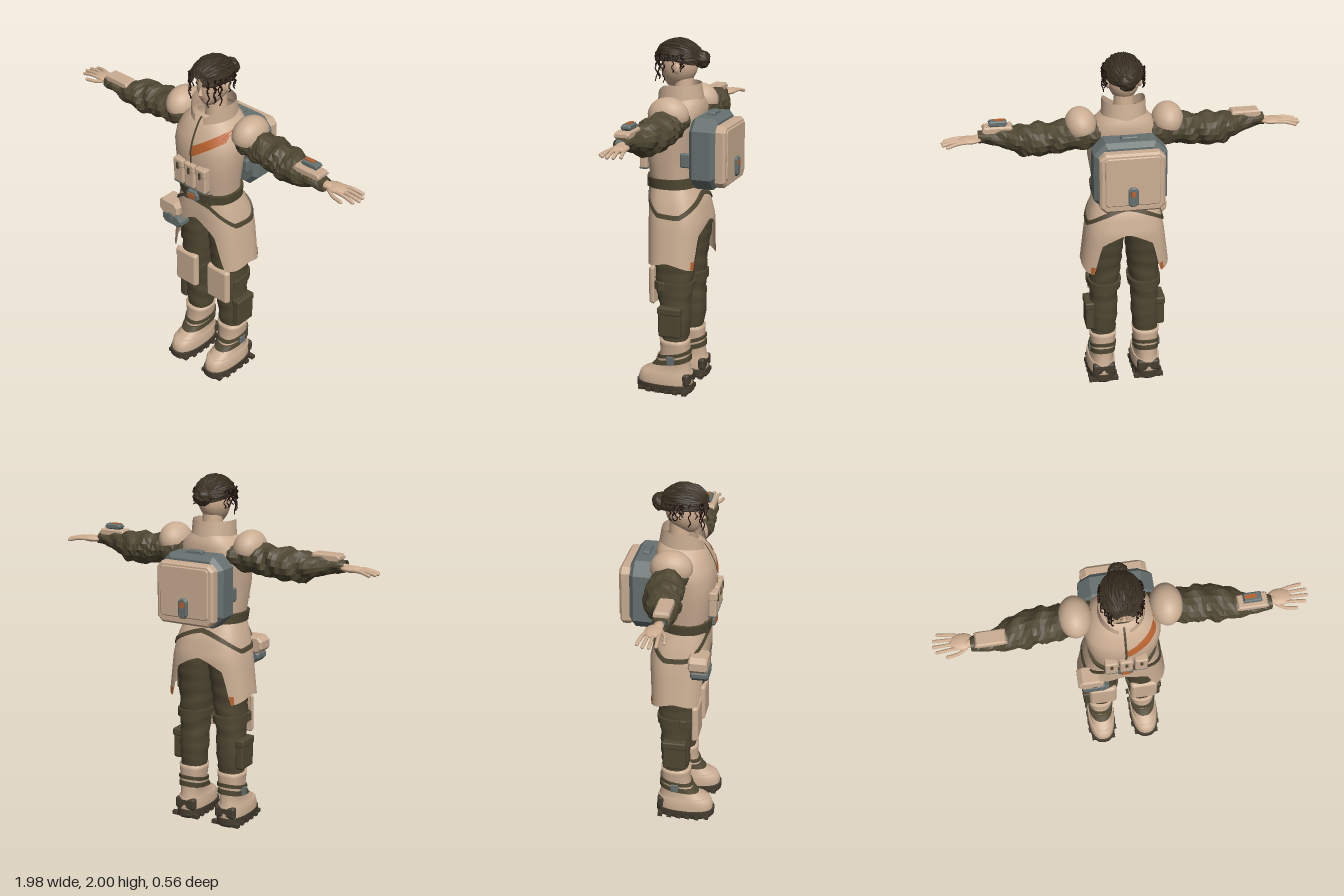
import * as THREE from 'three';
import { mergeVertices, mergeGeometries, toCreasedNormals } from 'three/addons/utils/BufferGeometryUtils.js';
import { RoundedBoxGeometry } from 'three/addons/geometries/RoundedBoxGeometry.js';

const paint = (name, color, side = THREE.FrontSide) => Object.assign(new THREE.MeshStandardMaterial({ color, side }), { name });

export function createModel() {
  const model = new THREE.Group();
  model.name = 'explorer';
  const tan = paint('tan cloth', 0xcbae93, THREE.DoubleSide), skin = paint('skin', 0xcfae91);
  const olive = paint('olive cloth', 0x4f4732, THREE.DoubleSide), slate = paint('slate shell', 0x66716f);
  const orange = paint('orange', 0xb8622e, THREE.DoubleSide), hair = paint('hair', 0x3b3122);
  const curl = paint('dark curls', 0x21100c), sole = paint('sole', 0x453d30), lip = paint('lips', 0x94614f);

  let seed = 7;
  const rnd = () => ((seed = (seed * 16807) % 2147483647) / 2147483647);
  const lerp = THREE.MathUtils.lerp;
  const add = (name, geo, mat) => {
    const m = new THREE.Mesh(geo, mat);
    m.name = name;
    model.add(m);
  };
  // Mirror a geometry across x and restore its winding
  const flip = geo => {
    const g = geo.index ? geo.toNonIndexed() : geo.clone();
    g.scale(-1, 1, 1);
    for (const a of Object.values(g.attributes))
      for (let i = 0; i < a.count; i += 3)
        for (let k = 0; k < a.itemSize; k++) {
          const t = a.getComponent(i + 1, k);
          a.setComponent(i + 1, k, a.getComponent(i + 2, k));
          a.setComponent(i + 2, k, t);
        }
    return g;
  };
  const both = (name, geo, mat) => { add(name + 'Left', geo, mat); add(name + 'Right', flip(geo), mat); };

  // Surface from a rule: u runs to the right and v up, seen from outside
  const grid = (fn, nu, nv) => {
    const pos = [], idx = [], w = nu + 1;
    for (let j = 0; j <= nv; j++) for (let i = 0; i <= nu; i++) pos.push(...fn(i / nu, j / nv));
    for (let j = 0; j < nv; j++) for (let i = 0; i < nu; i++) {
      const a = j * w + i;
      idx.push(a, a + 1, a + w + 1, a, a + w + 1, a + w);
    }
    let g = new THREE.BufferGeometry();
    g.setAttribute('position', new THREE.Float32BufferAttribute(pos, 3));
    g.setIndex(idx);
    g = mergeVertices(g, 1e-5);
    g.computeVertexNormals();
    return g;
  };
  const flat = g => { const f = g.toNonIndexed(); f.computeVertexNormals(); return f; };
  // Interpolated row of a table sorted by its first column
  const at = (rows, y) => {
    let i = 0;
    while (i < rows.length - 2 && y > rows[i + 1][0]) i++;
    const t = THREE.MathUtils.clamp((y - rows[i][0]) / (rows[i + 1][0] - rows[i][0]), 0, 1);
    return rows[i].map((a, k) => lerp(a, rows[i + 1][k], t));
  };
  // Point on a section row [y, halfWidth, zFront, zBack, centreX]; angle 0 is the front
  const ringPoint = ([y, hw, zf, zb, cx = 0], a, p = 2.4, off = 0) => {
    const pw = v => Math.sign(v) * Math.abs(v) ** (2 / p);
    return [cx + (hw + off) * pw(Math.sin(a)), y, (zf + zb) / 2 + ((zf - zb) / 2 + off) * pw(Math.cos(a))];
  };
  const ang = u => (u * 2 - 1) * Math.PI;
  const loft = (rows, p = 2.4, n = 48, wobble = () => 0) =>
    grid((u, v) => {
      const r = rows[Math.round(v * (rows.length - 1))];
      return ringPoint(r, ang(u), p, wobble(ang(u), r[0]));
    }, n, rows.length - 1);
  // Strap lying around a body described by a table
  const band = (rows, yOf, h, thick, p = 2.4) => toCreasedNormals(grid((u, v) => {
    const k = Math.round(v * 3), a = ang(u), y = yOf(a) + (k < 2 ? -h / 2 : h / 2);
    const q = ringPoint(at(rows, y), a, p, k === 1 || k === 2 ? thick : -0.01);
    return [q[0], y, q[2]];
  }, 48, 3), 0.7);
  const box = (w, h, d, x, y, z, r = 0.01) => new RoundedBoxGeometry(w, h, d, 2, r).translate(x, y, z);
  // Box with cut corners and bevelled faces
  const cutBox = (w, h, d, c, x, y, z) => {
    const a = w / 2 - c / 2, b = h / 2 - c / 2, s = new THREE.Shape();
    [[-a + c, -b], [a - c, -b], [a, -b + c], [a, b - c], [a - c, b], [-a + c, b], [-a, b - c], [-a, -b + c]]
      .forEach(([px, py], i) => (i ? s.lineTo(px, py) : s.moveTo(px, py)));
    return new THREE.ExtrudeGeometry(s, { depth: d - c, bevelSize: c / 2, bevelThickness: c / 2, bevelSegments: 1 })
      .translate(x, y, z - d / 2 + c / 2);
  };
  const ball = (rx, ry, rz, x, y, z) => new THREE.SphereGeometry(1, 28, 20).scale(rx, ry, rz).translate(x, y, z);
  const tube = (pts, r, seg = 10, sides = 6) =>
    new THREE.TubeGeometry(new THREE.CatmullRomCurve3(pts.map(q => new THREE.Vector3(...q))), seg, r, sides);

  // Jacket body
  const torso = [[1.18, .163, .21, -.04], [1.3, .178, .225, -.035], [1.4, .193, .24, -.045], [1.5, .203, .243, -.065],
    [1.56, .2, .228, -.08], [1.62, .175, .2, -.085], [1.66, .14, .175, -.075], [1.69, .1, .14, -.06]];
  add('jacket', loft(torso), tan);
  const onChest = (x, y, off) => {
    const [, hw, zf, zb] = at(torso, y), q = Math.min(1, Math.abs(x / hw));
    return [x, y, (zf + zb) / 2 + (zf - zb) / 2 * (1 - q ** 2.4) ** (1 / 2.4) + off];
  };
  add('chestSash', grid((u, v) => onChest(lerp(.006, .17, u), lerp(lerp(1.475, 1.585, u), lerp(1.535, 1.642, u), v), .006), 16, 6), orange);
  add('zip', grid((u, v) => onChest(lerp(-.006, .006, u), lerp(1.25, 1.68, v), .005), 1, 24), olive);
  add('collar', grid((u, v) => {
    const a = lerp(.22, Math.PI * 2 - .22, u), f = Math.max(0, Math.cos(a));
    return ringPoint([lerp(1.64, 1.757 - .075 * f ** 3, v), lerp(.125, .118, v), lerp(.185, .18, v), lerp(-.075, -.055, v)], a, 2.1);
  }, 48, 4), tan);

  // Coat skirt with an open front, a back slit and pointed corners
  const skirt = [[.74, .255, .212, -.11], [1, .222, .217, -.113], [1.1, .2, .217, -.09], [1.2, .165, .212, -.045]];
  const hem = [[0, 1.06], [.3, 1.01], [.48, .97], [.62, .83], [.72, .76], [1.1, .765], [1.57, .785], [2.2, .75], [2.42, .745], [2.6, .93], [3.15, 1.0]];
  const hemY = a => at(hem, Math.abs(a))[1];
  add('coatSkirt', grid((u, v) => {
    const y = lerp(hemY(ang(u)), 1.2, v);
    return ringPoint([y, ...at(skirt, y).slice(1)], ang(u), 2.8);
  }, 120, 10), tan);
  both('hemTag', grid((u, v) => {
    const a = lerp(2.3, 2.46, u), y = lerp(hemY(a) + .004, .795, v);
    return ringPoint([y, ...at(skirt, y).slice(1)], a, 2.8, .004);
  }, 4, 2), orange);
  add('hipHarness', band(skirt, a => at([[0, 1.185], [.4, 1.17], [1.3, 1.05], [1.8, 1.04], [2.5, 1.1], [3.15, 1.15]], Math.abs(a))[1], .024, .008, 2.8), olive);
  add('belt', band(torso.map(r => [...r]), () => 1.217, .056, .016), olive);
  add('buckle', cutBox(.085, .06, .025, .012, 0, 1.217, .232), slate);
  add('buckleInset', new THREE.BoxGeometry(.045, .03, .006).translate(0, 1.217, .247), orange);
  both('beltKeeper', box(.02, .068, .02, .105, 1.217, .205, .005), olive);

  // Chest pouches
  for (const x of [-.08, 0, .08]) {
    add('chestPouch', box(.07, .145, .045, x, 1.355, .24), tan);
    add('pouchFlap', box(.072, .05, .05, x, 1.405, .241), tan);
    add('pouchBase', box(.066, .014, .046, x, 1.285, .24, .005), slate);
    add('pouchTab', new THREE.BoxGeometry(.014, .04, .006).translate(x, 1.39, .267), olive);
  }

  // Trousers
  const leg = [[.24, .06, .11, -.025, .127], [.3, .07, .12, -.025, .126], [.36, .075, .125, -.035, .124], [.45, .081, .13, -.042, .122],
    [.53, .078, .138, -.04, .12], [.6, .081, .16, -.047, .117], [.68, .085, .165, -.05, .113], [.78, .092, .168, -.06, .109],
    [.88, .097, .175, -.078, .105], [.97, .098, .178, -.092, .1], [1.08, .095, .17, -.08, .092]];
  const fine = Array.from({ length: 34 }, (_, i) => at(leg, lerp(.24, 1.08, i / 33)));
  both('trouserLeg', loft(fine, 2.3, 28, (a, y) => .003 * Math.sin(y * 75 + 2 * Math.sin(a + y * 9))), olive);
  add('trouserSeat', ball(.15, .1, .12, 0, 1.06, .045), olive);
  both('thighPocket', box(.022, .17, .12, .202, .85, .06), olive);
  both('calfPocket', box(.05, .17, .13, .205, .43, .05, .014), olive);
  both('calfPocketFlap', box(.056, .045, .136, .206, .5, .05, .01), olive);
  both('kneeStrap', band(leg, () => .635, .045, .012), olive);
  both('kneeBuckle', box(.02, .055, .04, .204, .635, .1, .006), olive);
  // Curved knee plates
  const knee = new RoundedBoxGeometry(.165, .22, .032, 8, .015);
  const kp = knee.attributes.position;
  for (let i = 0; i < kp.count; i++) {
    const x = kp.getX(i), y = kp.getY(i);
    kp.setZ(i, kp.getZ(i) - 4 * x * x - 1.6 * y * y);
    kp.setX(i, x * (1 - 9 * Math.max(0, Math.abs(y) - .06)**1.6));
  }
  knee.computeVertexNormals();
  both('kneePad', knee.translate(.12, .635, .198), tan);

  // Boots
  const boot = [[.04, .079, .262, -.055, .134], [.07, .08, .265, -.056, .134], [.1, .076, .255, -.053, .133], [.125, .07, .225, -.048, .132],
    [.15, .065, .175, -.043, .131], [.18, .066, .145, -.04, .13], [.23, .07, .13, -.037, .128], [.29, .077, .133, -.037, .127], [.312, .08, .135, -.038, .127], [.314, .05, .11, -.02, .127]];
  both('boot', loft(boot), tan);
  both('bootSole', toCreasedNormals(loft([[0, 0, .1, .1, .134], [0, .076, .262, -.055, .134], [.012, .084, .272, -.064, .134],
    [.05, .084, .274, -.064, .134], [.052, .06, .23, -.04, .134]], 2.5), .6), sole);
  for (let i = 0; i < 6; i++)
    both('treadLug', new THREE.BoxGeometry(.172 - .03 * (i === 5), .022, .026).translate(.134, .013, -.035 + i * .054), sole);
  both('heelCounter', box(.13, .07, .04, .132, .085, -.035, .015), sole);
  for (const [y, h] of [[.185, .028], [.225, .02]]) both('bootStrap', band(boot, a => y - .02 * Math.cos(a), h, .008), olive);
  both('bootToeBand', band(boot, () => .115, .012, .006), tan);
  both('bootClasp', box(.018, .05, .045, .202, .2, .05, .005), slate);

  // Crumpled sleeves along x, rows [x, y, ry, z, rz]
  const arm = [[.14, 1.575, .07, .03, .075], [.24, 1.57, .085, .035, .09], [.36, 1.562, .083, .035, .095], [.48, 1.55, .09, .037, .1],
    [.57, 1.55, .083, .055, .09], [.64, 1.557, .06, .075, .065], [.72, 1.566, .042, .087, .048], [.79, 1.565, .033, .088, .038]];
  both('sleeve', flat(grid((u, v) => {
    const [x, y, ry, z, rz] = at(arm, lerp(.14, .79, v)), a = u * Math.PI * 2;
    const k = 1 + .085 * Math.sin(x * 62 + 2.2 * Math.sin(a * 2 + x * 8)) + .06 * Math.sin(3 * a + x * 41);
    return [x, y + ry * k * Math.cos(a), z + rz * k * Math.sin(a)];
  }, 16, 30)), olive);
  const pad = new THREE.SphereGeometry(1, 28, 12, 0, Math.PI * 2, 0, 1.75).scale(.087, .1, .114).rotateZ(-.18);
  both('shoulderPad', pad.translate(.238, 1.618, .04), tan);

  // Forearm guards; the left one carries a small instrument
  both('bracerBase', cutBox(.175, .04, .078, .015, .683, 1.568, .088), slate);
  both('bracerShell', cutBox(.187, .042, .08, .016, .683, 1.609, .088), tan);
  add('wristInstrument', cutBox(.115, .03, .05, .012, .682, 1.645, .08), slate);
  add('wristScreen', new THREE.BoxGeometry(.06, .006, .022).translate(.672, 1.661, .08), orange);

  // Hands
  const digits = [[.03, .008, .955], [.053, .04, .977], [.077, .072, .98], [.1, .104, .965]]
    .map(([z0, z1, x]) => [[.85, 1.562, z0], [(.85 + x) / 2, 1.562, (z0 + z1) / 2], [x, 1.55, z1]]);
  digits.push([[.81, 1.555, .1], [.855, 1.55, .125], [.915, 1.545, .135]]);
  const hand = digits.flatMap(d => [tube(d, .0095, 8, 8), ball(.011, .0093, .0093, ...d[2])]);
  hand.push(ball(.065, .018, .046, .835, 1.562, .066), ball(.05, .02, .026, .785, 1.563, .08));
  both('hand', mergeGeometries(hand), skin);

  // Backpack
  add('packBody', cutBox(.4, .395, .15, .05, 0, 1.398, -.128), slate);
  add('packLid', cutBox(.355, .34, .065, .024, 0, 1.39, -.225), tan);
  add('packLidPanel', cutBox(.3, .28, .012, .01, 0, 1.4, -.259), tan);
  add('packLatch', cutBox(.055, .11, .026, .012, 0, 1.315, -.268), slate);
  add('packLatchTag', new THREE.BoxGeometry(.024, .03, .004).translate(0, 1.335, -.282), orange);
  add('packHandle', cutBox(.11, .025, .04, .01, 0, 1.6, -.135), slate);
  both('packBracket', box(.03, .08, .06, .165, 1.36, -.03), slate);

  // Hip case on the right
  add('hipCaseBase', cutBox(.15, .075, .1, .02, -.165, .978, .19), slate);
  add('hipCaseLid', cutBox(.145, .095, .105, .02, -.19, 1.045, .185), tan);
  add('hipCaseClasp', box(.03, .045, .012, -.17, 1.0, .243, .004), slate);

  // Head and neck
  add('neck', new THREE.CylinderGeometry(.052, .064, .18, 24).translate(0, 1.72, .04), skin);
  const head = new THREE.SphereGeometry(1, 36, 28), hp = head.attributes.position;
  for (let i = 0; i < hp.count; i++) {
    const x = hp.getX(i), y = hp.getY(i), z = hp.getZ(i), t = Math.max(0, -y);
    hp.setXYZ(i, x * .086 * (1 - .28 * t * t), 1.857 + y * .13, .062 + z * .1 + t * t * .03);
  }
  head.computeVertexNormals();
  add('head', head, skin);
  add('nose', new THREE.ConeGeometry(.014, .045, 8).rotateX(-.2).translate(0, 1.835, .163), skin);
  both('ear', ball(.012, .028, .018, .086, 1.845, .05), skin);
  both('eye', ball(.014, .006, .005, .033, 1.862, .151), curl);
  both('eyebrow', tube([[.016, 1.88, .155], [.034, 1.886, .15], [.054, 1.878, .138]], .0035), curl);
  add('mouth', ball(.021, .006, .005, 0, 1.787, .155), lip);

  // Hair: cap, bun, combed curls and loose strands
  const lumpy = (g, amp) => {
    const p = g.attributes.position;
    for (let i = 0; i < p.count; i++) {
      const k = 1 + amp * Math.sin(p.getX(i) * 9 + p.getY(i) * 5) * Math.sin(p.getZ(i) * 11 + p.getY(i) * 7);
      p.setXYZ(i, p.getX(i) * k, p.getY(i) * k, p.getZ(i) * k);
    }
    return flat(g);
  };
  add('hairCap', lumpy(new THREE.SphereGeometry(1, 22, 12, 0, Math.PI * 2, 0, 1.55), .05).scale(.1, .11, .128).rotateX(-.22).translate(0, 1.883, .06), hair);
  add('hairBun', lumpy(new THREE.SphereGeometry(1, 14, 10), .1).scale(.052, .048, .045).translate(0, 1.89, -.065), hair);
  const locks = [], strands = [];
  for (let i = 0; i < 34; i++) {
    const a = lerp(-1.5, 1.5, i / 33), w = rnd() * 6, path = [];
    for (let k = 0; k <= 7; k++) {
      const t = lerp(.12, .92, k / 7) * Math.PI, r = 1.03 + .03 * Math.sin(k * 2.4 + w), lift = Math.sin(t);
      path.push([.1 * r * Math.sin(a) * lift + .005 * Math.sin(k * 2 + w), 1.885 + .105 * r * Math.cos(a) * lift, .068 + .125 * r * Math.cos(t)]);
    }
    locks.push(tube(path, .006 + .003 * rnd(), 20, 5));
  }
  for (let i = 0; i < 30; i++) {
    const s = i % 2 ? 1 : -1, a = lerp(.5, 2.1, rnd()), len = lerp(.06, .17, rnd()) * (a > 1.3 ? .6 : 1), w = rnd() * 6, path = [];
    for (let k = 0; k <= 7; k++)
      path.push([s * (.1 * Math.sin(a) + .012) + .007 * Math.sin(k * 2.1 + w), 1.925 - len * k / 7, .068 + .128 * Math.cos(a) + .007 * Math.cos(k * 2.1 + w)]);
    strands.push(tube(path, .0035, 16, 4));
  }
  add('hairLocks', mergeGeometries(locks), hair);
  add('looseStrands', mergeGeometries(strands), curl);
  return model;
}
